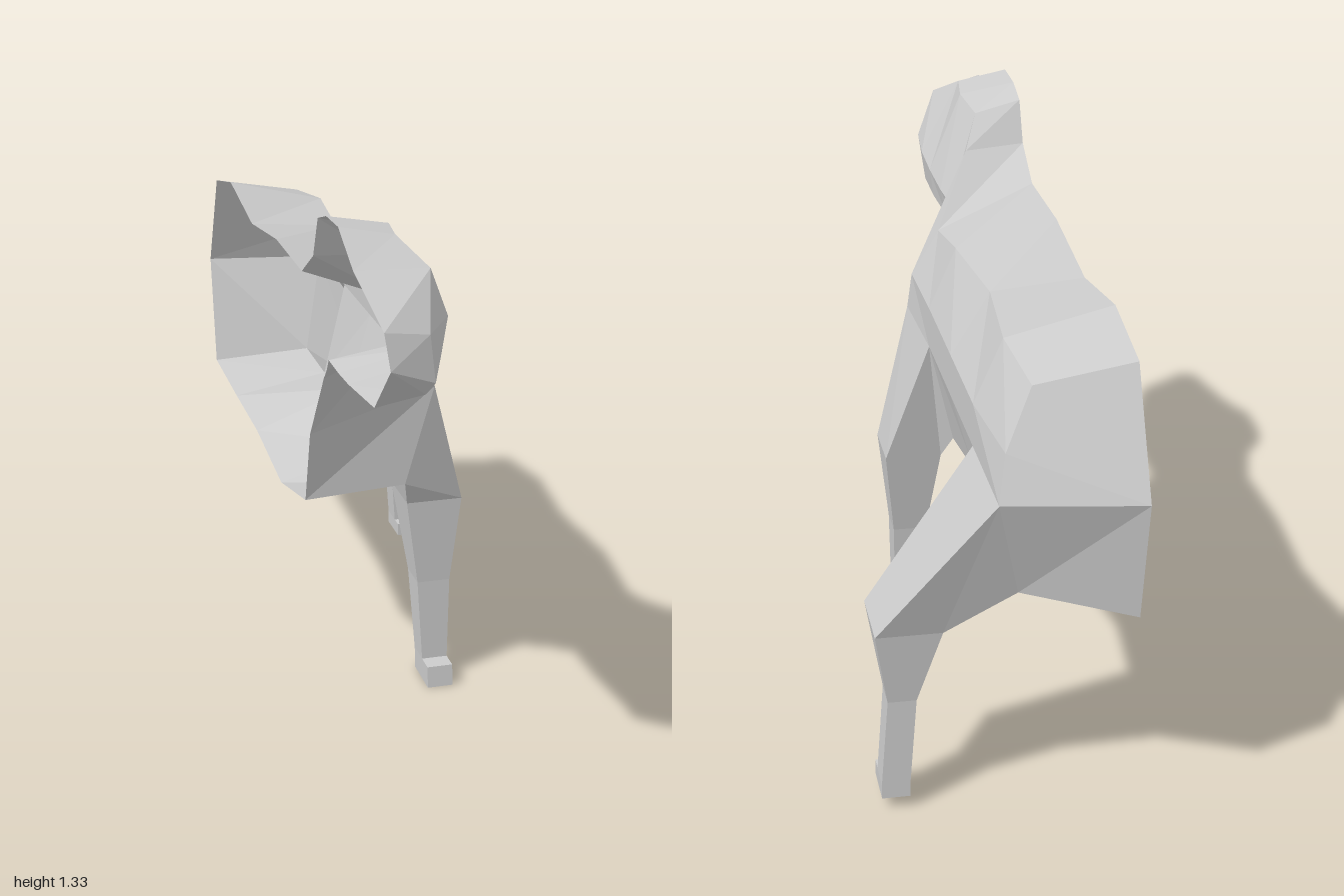
import * as THREE from 'three';

const material = new THREE.MeshStandardMaterial({ color: 0xcccccc, flatShading: true, side: THREE.DoubleSide });
const MID = -0.28; // open mid-plane of the half animal

// Collects triangles, dropping collapsed ones, and turns them into a mesh
function builder(name) {
  const positions = [];
  const same = (p, q) => p.every((v, i) => v === q[i]);
  const tri = (a, b, c) => {
    if (!same(a, b) && !same(b, c) && !same(a, c)) positions.push(...a, ...b, ...c);
  };
  return {
    quad(a, b, c, d) { tri(a, b, c); tri(a, c, d); },
    mesh() {
      const geometry = new THREE.BufferGeometry();
      geometry.setAttribute('position', new THREE.Float32BufferAttribute(positions, 3));
      geometry.computeVertexNormals();
      const mesh = new THREE.Mesh(geometry, material);
      mesh.name = name;
      return mesh;
    },
  };
}

// Head section: spine, upper, side, jaw, (jaw again), throat
const headRing = (spine, upper, side, jaw, throat) =>
  [[MID, ...spine], upper, side, jaw, jaw, [MID, ...throat]];
// Trunk section: spine, upper, side, flank, belly edge, keel
const trunkRing = (z, spine, upperX, upperY, keel) =>
  [[MID, spine, z], [upperX, upperY, z], [0.03, 0.92, z], [0.03, 0.82, z],
    [-0.03, z < -0.2 && z > -0.5 ? 0.62 : 0.57, z], [MID, keel, z]];

const point = (y, z) => Array.from({ length: 6 }, () => [MID, y, z]);

const headRings = [
  point(1.15, 1.0), // nose tip
  headRing([1.215, 0.95], [-0.165, 1.18, 0.88], [-0.165, 1.09, 0.92], [-0.18, 1.06, 0.9], [1.03, 0.87]),
  headRing([1.27, 0.7], [-0.105, 1.255, 0.67], [-0.06, 1.14, 0.65], [-0.075, 1.05, 0.65], [1.005, 0.65]),
  headRing([1.33, 0.57], [-0.155, 1.305, 0.57], [-0.055, 1.12, 0.56], [-0.065, 1.045, 0.56], [1.0, 0.56]),
  headRing([1.325, 0.46], [-0.14, 1.3, 0.46], [-0.06, 1.1, 0.46], [-0.07, 1.03, 0.46], [1.0, 0.47]),
  headRing([1.3, 0.38], [-0.165, 1.27, 0.38], [-0.075, 1.07, 0.38], [-0.09, 1.0, 0.38], [0.97, 0.45]),
  headRing([1.2, 0.33], [-0.13, 1.19, 0.32], [-0.09, 1.05, 0.32], [-0.11, 0.97, 0.33], [0.94, 0.42]),
];

// Shoulder section, then the same one carried down to the bottom of the chest
const shoulder = headRing([1.13, 0.21], [-0.035, 1.03, 0.18], [0.03, 0.91, 0.2], [0.04, 0.82, 0.21], [0.75, 0.27]);
const chest = [...shoulder.slice(0, 4), [-0.03, 0.57, 0.2], [MID, 0.56, 0.21]];
const elbow = trunkRing(-0.07, 1.13, -0.035, 1.07, 0.495);
const waist = trunkRing(-0.37, 1.09, -0.06, 1.07, 0.525);
const hip = trunkRing(-0.65, 1.13, -0.035, 1.07, 0.525);
const rump = [[MID, 1.085, -0.86], [-0.055, 1.045, -0.855], [0.01, 0.92, -0.91],
  [0.03, 0.82, -0.95], [-0.03, 0.57, -0.87], [MID, 0.53, -0.95]];

// Skin between successive sections; gaps are [ring, column] openings for legs
function skin(name, rings, gaps = []) {
  const b = builder(name);
  for (let i = 0; i < rings.length - 1; i++) {
    for (let j = 0; j < 5; j++) {
      if (gaps.some(([r, c]) => r === i && c === j)) continue;
      b.quad(rings[i][j], rings[i][j + 1], rings[i + 1][j + 1], rings[i + 1][j]);
    }
  }
  return b.mesh();
}

// Four-cornered leg section: outer front, outer back, inner back, inner front
const legRing = (y, inner, outer, front, back) =>
  [[outer, y, front], [outer, y, back], [inner, y, back], [inner, y, front]];

// Leg growing from an opening between two trunk sections
function leg(name, front, back, sections) {
  const b = builder(name);
  const rings = [[front[3], back[3], back[4], front[4]], ...sections.map((s) => legRing(...s))];
  for (let i = 0; i < rings.length - 1; i++) {
    for (let j = 0; j < 4; j++) {
      const k = (j + 1) % 4;
      b.quad(rings[i][j], rings[i + 1][j], rings[i + 1][k], rings[i][k]);
    }
  }
  b.quad(...[...rings[rings.length - 1]].reverse()); // sole
  return b.mesh();
}

export function createModel() {
  const model = new THREE.Group();
  model.name = 'halfAnimal';
  model.add(
    skin('head', headRings),
    skin('neck', [headRings[headRings.length - 1], shoulder]),
    skin('trunk', [shoulder, chest, elbow, waist, hip, rump, point(0.82, -1.0)], [[1, 3], [4, 3]]),
    // knee, shin, ankle, toe top, sole
    leg('frontLeg', chest, elbow, [
      [0.495, -0.01, 0.13, 0.145, -0.005],
      [0.27, 0.022, 0.105, 0.13, 0.04],
      [0.055, 0.035, 0.1, 0.13, 0.06],
      [0.055, 0.035, 0.1, 0.18, 0.06],
      [0, 0.035, 0.1, 0.185, 0.065],
    ]),
    leg('hindLeg', hip, rump, [
      [0.46, 0.125, 0.275, -0.655, -0.825],
      [0.28, 0.18, 0.245, -0.725, -0.8],
      [0.065, 0.195, 0.26, -0.73, -0.8],
      [0.065, 0.195, 0.26, -0.695, -0.8],
      [0.03, 0.195, 0.26, -0.695, -0.8],
    ]),
  );
  return model;
}
